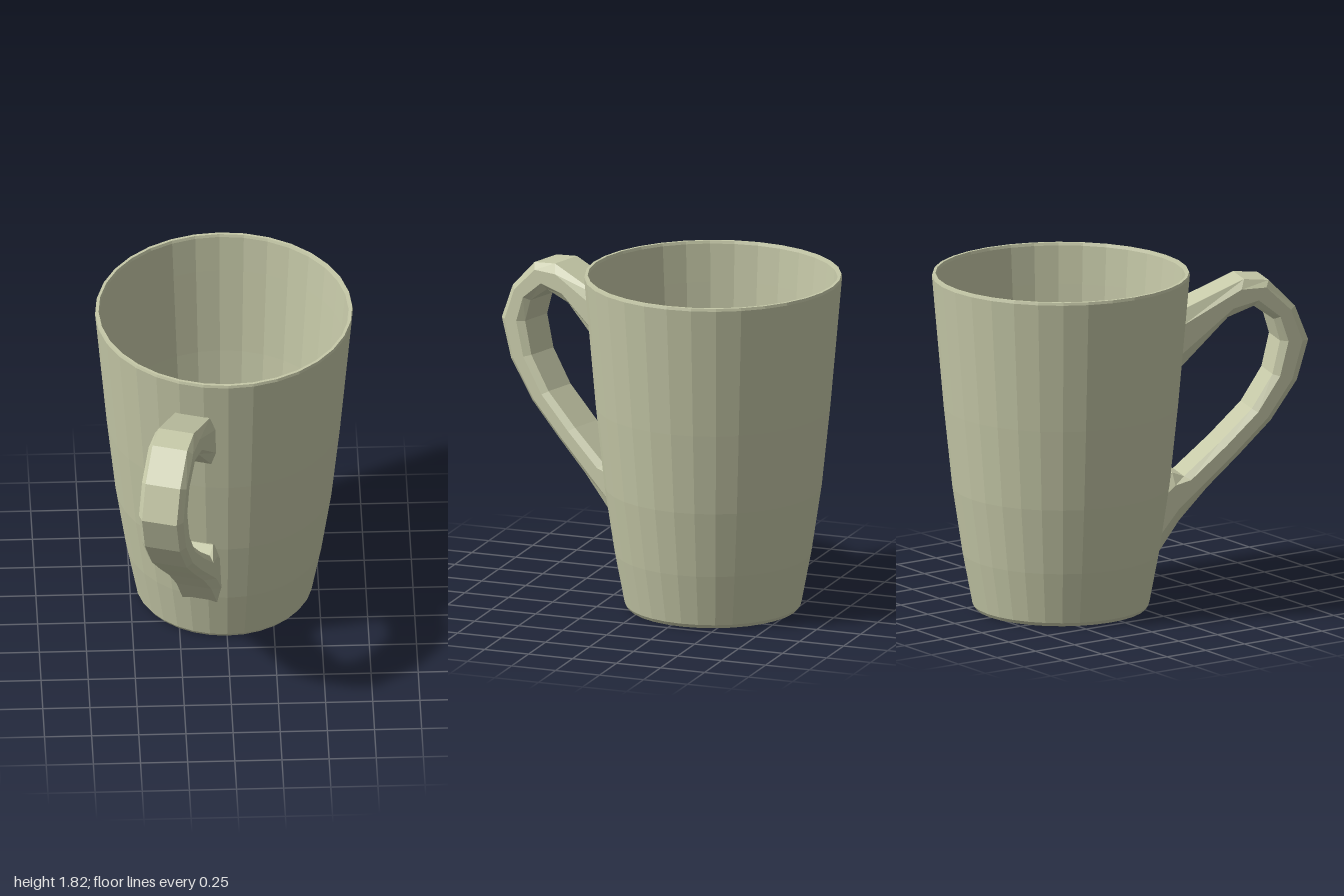
import * as THREE from 'three';

const AXIS_Z = -0.315; // mug axis sits behind the origin, the handle reaches forward

const material = new THREE.MeshStandardMaterial({ color: 0xc6c9a8, flatShading: true });

// Thin-walled cup: outside, rim, inside and floor as one lathe profile
function createCup() {
  const profile = [
    [0, 0], [0.455, 0], [0.469, 0.02], [0.522, 0.3], [0.576, 0.66], [0.622, 1.1], [0.684, 1.805],
    [0.68, 1.82], [0.665, 1.82], [0.66, 1.805], [0.642, 1.6], [0.6, 1.1], [0.554, 0.66],
    [0.502, 0.3], [0.48, 0.16], [0, 0.16],
  ].map(([r, y]) => new THREE.Vector2(r, y));
  const cup = new THREE.Mesh(new THREE.LatheGeometry(profile, 32), material);
  cup.name = 'cup';
  return cup;
}

// Ear-shaped handle: chamfered sections lofted between an outer and an inner curve
function createHandle() {
  // outer distance from axis, outer height, inner distance, inner height
  const stations = [
    [0.657, 1.59, 0.628, 1.26],
    [0.99, 1.73, 0.9, 1.53],
    [1.127, 1.715, 1.043, 1.58],
    [1.273, 1.565, 1.155, 1.5],
    [1.347, 1.375, 1.19, 1.38],
    [1.284, 1.16, 1.148, 1.2],
    [1.138, 0.95, 1.033, 1.02],
    [0.96, 0.775, 0.855, 0.85],
    [0.783, 0.61, 0.655, 0.68],
    [0.626, 0.44, 0.59, 0.705],
    [0.504, 0.25, 0.565, 0.69],
  ];
  // share of the way from outer to inner curve, sideways offset
  const section = [
    [0, -0.095], [0, 0.095], [0.25, 0.122], [0.75, 0.122],
    [1, 0.095], [1, -0.095], [0.75, -0.122], [0.25, -0.122],
  ];
  const n = section.length;
  const positions = [];
  const indices = [];
  stations.forEach(([outR, outY, inR, inY], i) => {
    const atWall = i === 0 || i === stations.length - 1;
    for (const [t, x] of section) {
      const r = THREE.MathUtils.lerp(outR, inR, t);
      // the end sections follow the round wall
      const z = atWall ? Math.sqrt(r * r - x * x) : r;
      positions.push(x, THREE.MathUtils.lerp(outY, inY, t), z);
    }
    if (i === 0) return;
    for (let j = 0; j < n; j++) {
      const a = (i - 1) * n + j;
      const b = (i - 1) * n + ((j + 1) % n);
      indices.push(a, b + n, b, a, a + n, b + n);
    }
  });
  const geometry = new THREE.BufferGeometry();
  geometry.setAttribute('position', new THREE.Float32BufferAttribute(positions, 3));
  geometry.setIndex(indices);
  geometry.computeVertexNormals();
  const handle = new THREE.Mesh(geometry, material);
  handle.name = 'handle';
  handle.rotation.y = -0.294;
  return handle;
}

export function createModel() {
  const mug = new THREE.Group();
  mug.name = 'mug';
  for (const part of [createCup(), createHandle()]) {
    part.position.z = AXIS_Z;
    mug.add(part);
  }
  return mug;
}
